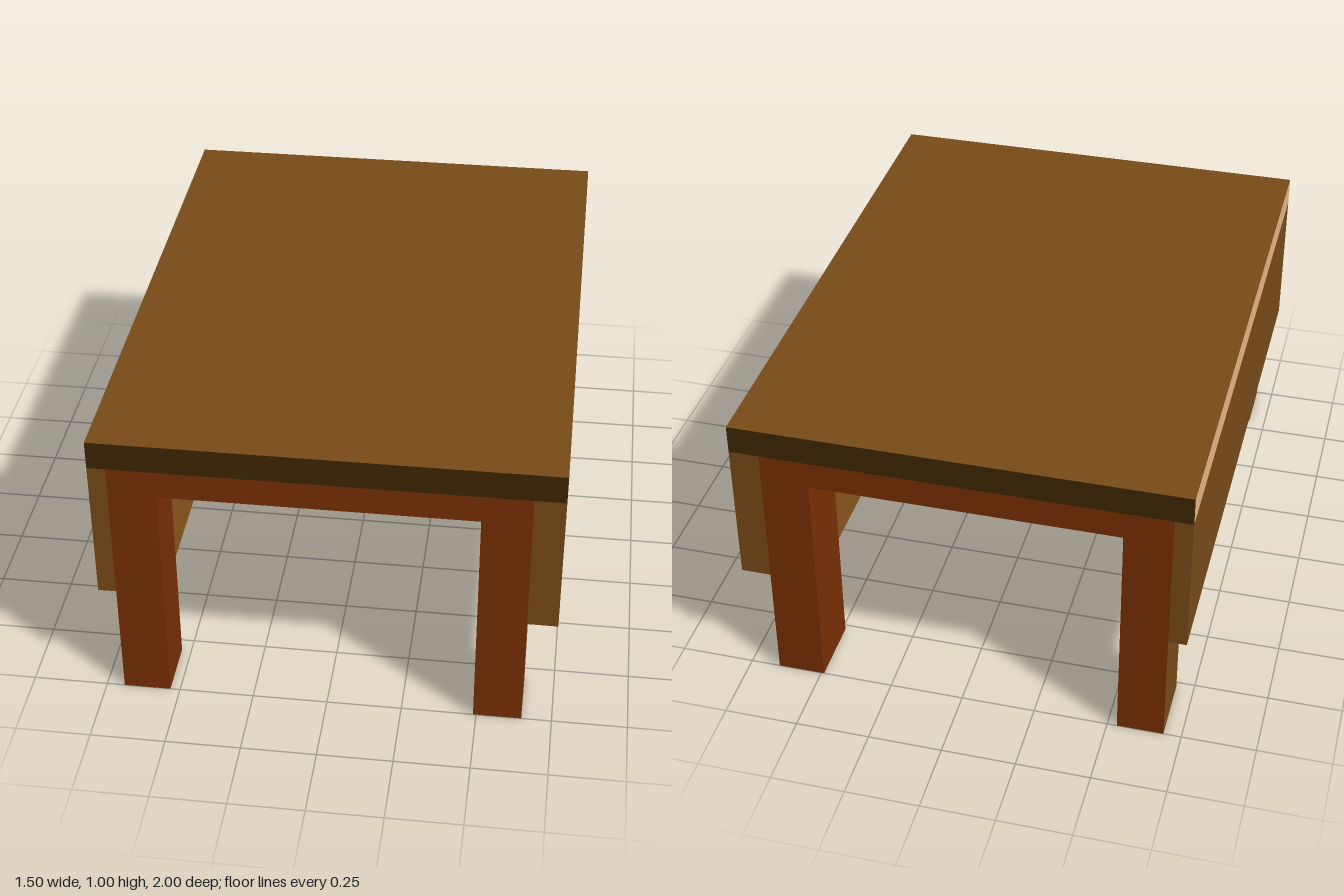
import * as THREE from 'three';

const material = (name, color) => {
  const m = new THREE.MeshStandardMaterial({ color, side: THREE.DoubleSide });
  m.name = name;
  return m;
};

export function createModel() {
  const group = new THREE.Group();
  const brown = material('brown wood', 0x7a4b18);
  const dark = material('dark wood', 0x402801);
  const tan = material('tan wood', 0xe6b887);
  const rust = material('red wood', 0x7a3002);

  // Flat board given by its limits; the axis with a single number is its normal
  function board(name, x, y, z, mat) {
    const size = ([a, b]) => b - a;
    const mid = (r) => (Array.isArray(r) ? (r[0] + r[1]) / 2 : r);
    let geometry;
    if (!Array.isArray(x)) geometry = new THREE.PlaneGeometry(size(z), size(y)).rotateY(Math.PI / 2);
    else if (!Array.isArray(y)) geometry = new THREE.PlaneGeometry(size(x), size(z)).rotateX(-Math.PI / 2);
    else geometry = new THREE.PlaneGeometry(size(x), size(y));
    const mesh = new THREE.Mesh(geometry, mat);
    mesh.position.set(mid(x), mid(y), mid(z));
    mesh.name = name;
    group.add(mesh);
  }

  const rim = 0.903; // underside of the table edge
  const skirt = 0.41; // underside of the side panels
  const bar = 0.808; // underside of the crossbars

  // Table top
  board('tableTop', [-0.75, 0.75], 1, [-1, 1], brown);

  const sides = [
    { side: 'right', edge: -0.75, outer: -0.69, inner: -0.533 },
    { side: 'left', edge: 0.75, outer: 0.65, inner: 0.49 },
  ];
  const ends = [
    { end: 'front', z: 1, back: 0.8 },
    { end: 'back', z: -1, back: -0.77 },
  ];
  const span = (a, b) => [Math.min(a, b), Math.max(a, b)];

  // Hollow side panels: tan edge, outer wall and a ledge along the bottom
  for (const { side, edge, inner } of sides) {
    board(side + 'TopEdge', edge, [rim, 1], [-1, 1], tan);
    board(side + 'Panel', edge, [skirt, rim], [-1, 1], brown);
    board(side + 'Ledge', span(edge, inner), skirt, [-1, 1], brown);
  }

  for (const { end, z, back } of ends) {
    const depth = span(z, back);

    // Dark edge, and the crossbar with its underside
    board(end + 'TopEdge', [-0.75, 0.75], [rim, 1], z, dark);
    board(end + 'Crossbar', [-0.69, 0.65], [bar, rim], z, rust);
    board(end + 'CrossbarUnderside', [-0.533, 0.49], bar, depth, rust);

    // Panel ends and legs, which are open at the foot
    for (const { side, edge, outer, inner } of sides) {
      const leg = end + side[0].toUpperCase() + side.slice(1) + 'Leg';
      board(end + 'PanelEnd', span(edge, outer), [skirt, rim], z, brown);
      board(leg + 'Face', span(outer, inner), [0, bar], z, rust);
      board(leg + 'InnerSide', inner, [0, bar], depth, rust);
      board(leg + 'OuterSide', outer, [0, skirt], depth, brown);
      board(leg + 'Back', span(outer, inner), [0, skirt], back, brown);
    }
  }

  return group;
}
